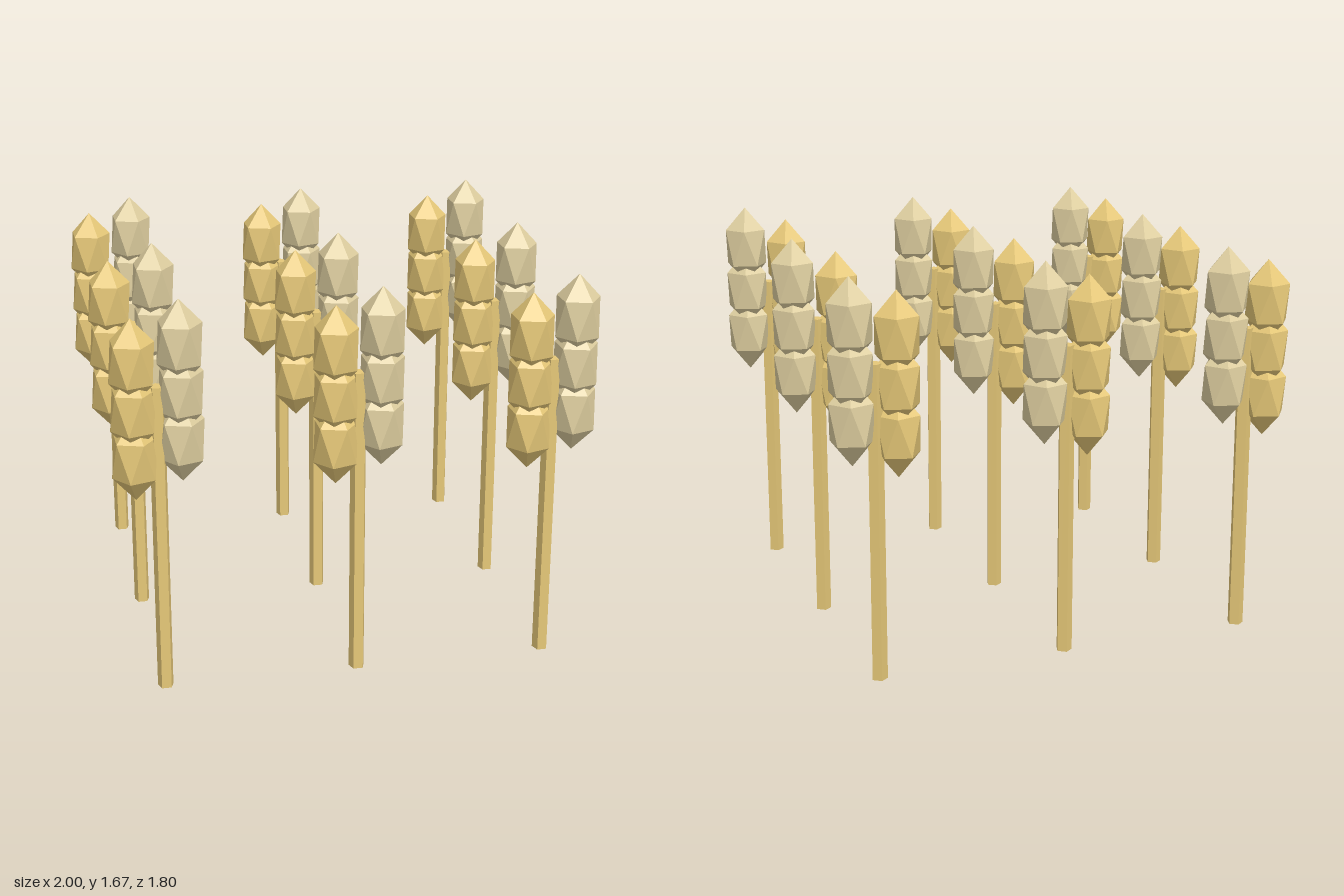
import * as THREE from 'three';

const SPACING = 0.8125;
const GRAIN_RADIUS = 0.103;
const GRAIN_HALF_HEIGHT = 0.18;

function material(color) {
  return new THREE.MeshStandardMaterial({ color, flatShading: true });
}

// Icosahedron stood on one corner, then stretched upwards
function grainGeometry() {
  const geometry = new THREE.IcosahedronGeometry(1, 0);
  geometry.rotateX(-Math.atan((1 + Math.sqrt(5)) / 2));
  geometry.rotateY(Math.PI / 2);
  geometry.scale(GRAIN_RADIUS, GRAIN_HALF_HEIGHT, GRAIN_RADIUS);
  return geometry;
}

export function createModel() {
  const field = new THREE.Group();
  field.name = 'wheatField';

  // Five-sided stem with a flat face to the front
  const stemHeight = 1.32;
  const stemGeometry = new THREE.CylinderGeometry(0.034, 0.034, stemHeight, 5, 1, false, Math.PI);
  stemGeometry.translate(0, stemHeight / 2, 0);
  const grain = grainGeometry();

  const stemMaterial = material(0xe6c878);
  // Two columns of grains, the pale one set higher
  const columns = [
    { name: 'goldenGrain', x: -0.095, y: 1.025, material: material(0xe6c878) },
    { name: 'paleGrain', x: 0.095, y: 1.092, material: material(0xdfcfa0) },
  ];

  for (let row = -1; row <= 1; row++) {
    for (let col = -1; col <= 1; col++) {
      const stalk = new THREE.Group();
      stalk.name = 'wheatStalk';
      stalk.position.set(col * SPACING, 0, row * SPACING);

      const stem = new THREE.Mesh(stemGeometry, stemMaterial);
      stem.name = 'stem';
      stalk.add(stem);

      for (const column of columns) {
        for (let i = 0; i < 3; i++) {
          const mesh = new THREE.Mesh(grain, column.material);
          mesh.name = column.name;
          mesh.position.set(column.x, column.y + i * 0.199, 0);
          stalk.add(mesh);
        }
      }
      field.add(stalk);
    }
  }
  return field;
}
